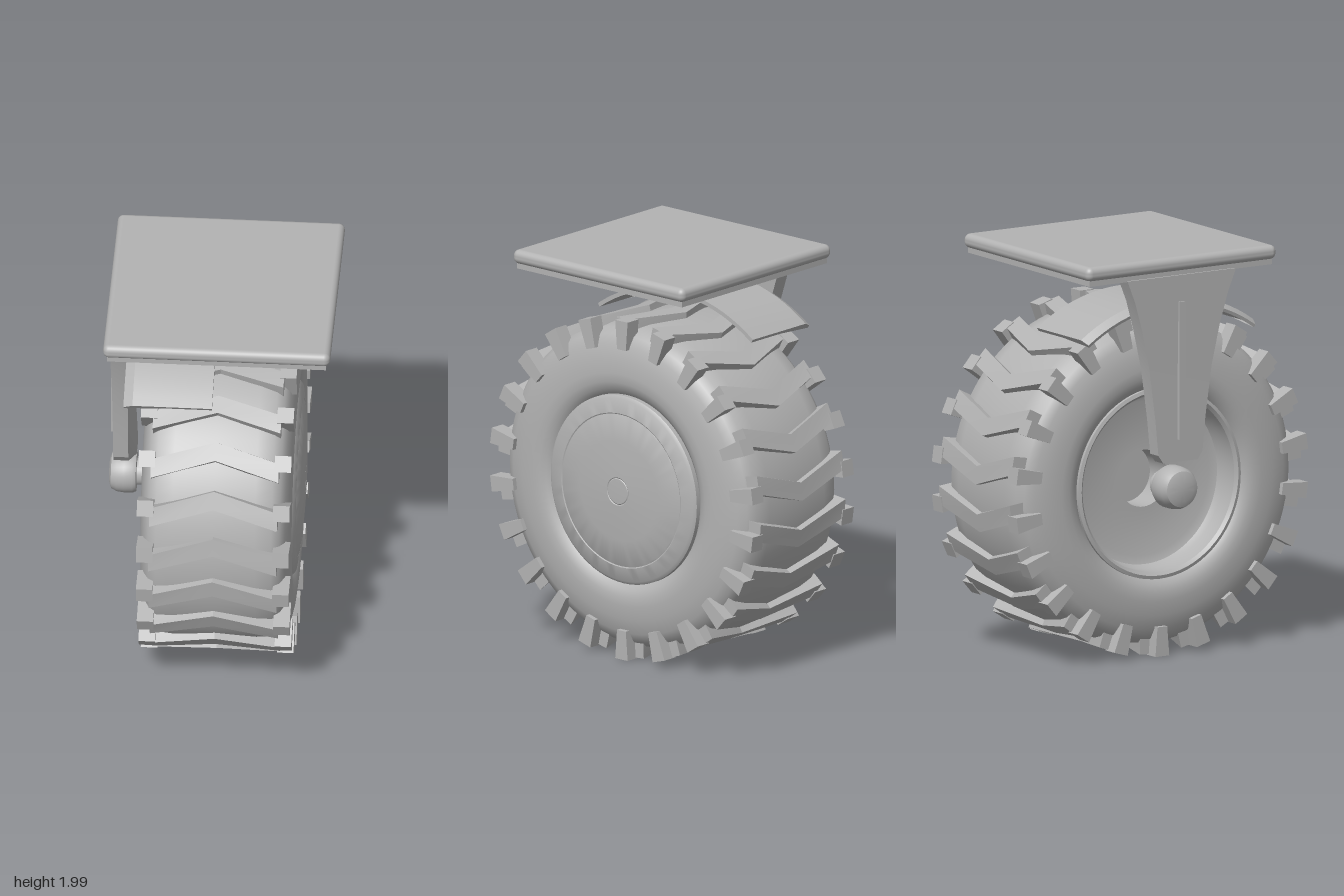
import * as THREE from 'three';
import { toCreasedNormals } from 'three/addons/utils/BufferGeometryUtils.js';
import { RoundedBoxGeometry } from 'three/addons/geometries/RoundedBoxGeometry.js';

const AXLE_Y = 0.855, LUGS = 22, RAD = Math.PI / 180;

// Skin a row of equal-sized rings and cap both ends.
function loft(rings, crease = 0.3) {
  const pos = [], n = rings[0].length;
  const tri = (a, b, c) => pos.push(...a, ...b, ...c);
  for (let i = 0; i < rings.length - 1; i++) {
    for (let j = 0; j < n; j++) {
      const k = (j + 1) % n, p = rings[i], q = rings[i + 1];
      tri(p[j], q[j], q[k]);
      tri(p[j], q[k], p[k]);
    }
  }
  const first = rings[0], last = rings[rings.length - 1];
  for (let j = 1; j < n - 1; j++) {
    tri(first[0], first[j], first[j + 1]);
    tri(last[0], last[j + 1], last[j]);
  }
  const g = new THREE.BufferGeometry();
  g.setAttribute('position', new THREE.Float32BufferAttribute(pos, 3));
  return toCreasedNormals(g, crease);
}

// Turn a [radius, x] profile around the x axis.
function turned(profile, segments = 72) {
  const g = new THREE.LatheGeometry(profile.map(p => new THREE.Vector2(...p)), segments);
  g.rotateZ(-Math.PI / 2);
  return toCreasedNormals(g, 0.6);
}

// Point around the wheel: angle in degrees from the front, rising.
const around = (x, r, deg) => [x, r * Math.sin(deg * RAD), r * Math.cos(deg * RAD)];

export function createModel() {
  const grey = new THREE.MeshStandardMaterial({ color: 0xb3b3b3 });
  grey.name = 'grey';
  const model = new THREE.Group();
  model.name = 'casterWheel';
  const wheel = new THREE.Group();
  wheel.name = 'wheel';
  wheel.position.y = AXLE_Y;
  model.add(wheel);
  const add = (name, geometry, parent = model) => {
    const m = new THREE.Mesh(geometry, grey);
    m.name = name;
    parent.add(m);
    return m;
  };

  // Tyre carcass, mirrored about its centre line
  const half = [[0.45, 0.3], [0.472, 0.33], [0.5, 0.352], [0.535, 0.364], [0.58, 0.366],
    [0.65, 0.358], [0.72, 0.342], [0.765, 0.318], [0.792, 0.28], [0.805, 0.2]];
  add('tyre', turned([...half.map(([r, x]) => [r, -x]), [0.81, 0], ...half.slice().reverse()], 88), wheel);

  // Hub: open dish with a bore on the right, domed cover on the left
  add('hubDish', turned([[0, -0.05], [0.14, -0.05], [0.14, -0.2], [0.38, -0.2], [0.42, -0.215],
    [0.435, -0.25], [0.44, -0.335], [0.455, -0.35], [0.472, -0.345], [0.472, -0.29]]), wheel);
  add('hubCover', turned([[0.47, 0.29], [0.47, 0.352], [0.455, 0.364], [0.385, 0.374], [0.38, 0.371],
    [0.373, 0.375], [0.25, 0.388], [0.12, 0.396], [0.07, 0.398], [0.066, 0.395], [0.062, 0.398], [0, 0.4]]), wheel);

  // Chevron treads and shoulder lugs
  const tread = loft([[-0.31, -6.2, 0.846], [0, 0.2, 0.84], [0.31, -6.2, 0.846]].map(([x, a, r]) => [
    around(x, 0.77, a - 0.4), around(x, r, a), around(x, r, a + 6.2), around(x, 0.77, a + 6.6)]));
  const lug = (x0, x1) => loft([x0, x1].map(x => [
    around(x, 0.705, -2.3), around(x, 0.85, -2.7), around(x, 0.85, 2.7), around(x, 0.705, 2.3)]));
  const lugLeft = lug(0.29, 0.37), lugRight = lug(-0.37, -0.29);
  for (let i = 0; i < LUGS; i++) {
    const turn = -Math.PI / 2 + i * 2 * Math.PI / LUGS;
    add('tread', tread, wheel).rotation.x = turn;
    add('shoulderLugLeft', lugLeft, wheel).rotation.x = turn;
    add('shoulderLugRight', lugRight, wheel).rotation.x = turn;
  }

  // Axle stub with rounded cap
  add('axleCap', turned([[0, -0.553], [0.06, -0.553], [0.088, -0.543], [0.102, -0.515], [0.106, -0.48],
    [0.106, -0.44], [0.098, -0.422], [0.066, -0.42], [0.066, -0.36], [0, -0.36]], 40), wheel);

  // Mounting plate
  add('topPlate', new RoundedBoxGeometry(1.1, 0.07, 1.1, 4, 0.03)).position.y = 1.965;
  add('underPlate', new THREE.BoxGeometry(1.06, 0.035, 1.06)).position.y = 1.9225;

  // Tapered fork arm: [y, outer x, edge x, inner x, half width]
  const arm = [[1.91, -0.54, -0.46, -0.4, 0.315], [1.8, -0.538, -0.46, -0.41, 0.27],
    [1.65, -0.534, -0.455, -0.422, 0.225], [1.45, -0.53, -0.455, -0.43, 0.18],
    [1.2, -0.528, -0.455, -0.428, 0.145], [1.03, -0.528, -0.455, -0.42, 0.128],
    [0.99, -0.528, -0.455, -0.42, 0.1]];
  add('forkArm', loft(arm.map(([y, o, e, n, w]) => [
    [o, y, -w], [o, y, w], [e, y, w], [n, y, w * 0.4], [n, y, -w * 0.4], [e, y, -w]]), 0.4));
  add('armRib', new THREE.BoxGeometry(0.02, 0.68, 0.035)).position.set(-0.537, 1.44, 0);

  // Curved mudguard over the tyre
  const guard = [];
  for (let i = 0; i <= 20; i++) {
    const a = 54.5 + i * 71 / 20;
    guard.push([[-0.025, 0.86], [-0.41, 0.86], [-0.455, 0.835], [-0.45, 0.82], [-0.405, 0.84], [-0.025, 0.84]]
      .map(([x, r]) => { const p = around(x, r, a); p[1] += 0.92; return p; }));
  }
  add('mudguard', loft(guard));

  return model;
}
